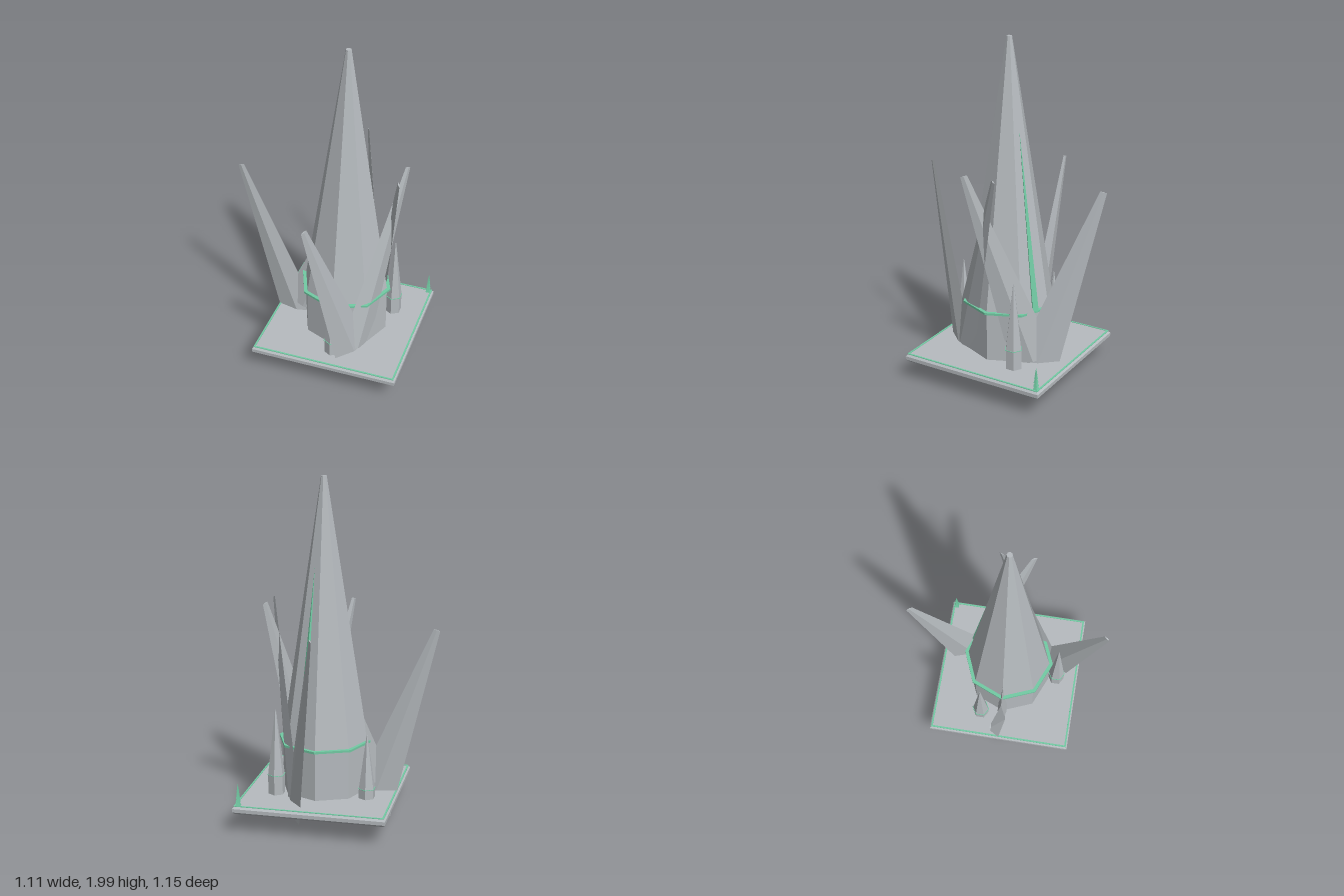
import * as THREE from 'three';

const steel = new THREE.MeshStandardMaterial({ color: 0xb6bbbf, flatShading: true });
steel.name = 'pale steel';
const green = new THREE.MeshStandardMaterial({ color: 0x72cba4, flatShading: true });
green.name = 'mint trim';

const CX = 0.11; // tower and plate centre
const DECK = 0.172; // top of the plate

function add(parent, name, geometry, material, x = 0, y = 0, z = 0) {
  const mesh = new THREE.Mesh(geometry, material);
  mesh.name = name;
  mesh.position.set(x, y, z);
  parent.add(mesh);
  return mesh;
}

function square(half, PathType = THREE.Shape) {
  return new PathType([[-1, -1], [1, -1], [1, 1], [-1, 1]].map(([x, y]) => new THREE.Vector2(x * half, y * half)));
}

// Flat polygonal collar with its corners on the z axis
function collar(outer, inner, height, sides) {
  const profile = [[inner, 0], [outer, 0], [outer, height], [inner, height], [inner, 0]];
  return new THREE.LatheGeometry(profile.map(([r, y]) => new THREE.Vector2(r, y)), sides);
}

// Faceted drum with a trim collar and a tall spire
function spire(name, x, z, radius, ringY, topY, tipRadius, sides) {
  const g = new THREE.Group();
  g.name = name;
  g.position.set(x, 0, z);
  const low = DECK - 0.01;
  add(g, 'drum', new THREE.CylinderGeometry(radius, radius, ringY - low, sides), steel, 0, (ringY + low) / 2, 0);
  add(g, 'spireCone', new THREE.CylinderGeometry(tipRadius, radius, topY - ringY, sides), steel, 0, (ringY + topY) / 2, 0);
  add(g, 'collar', collar(radius * 1.08, radius * 0.95, radius * 0.05, sides), green, 0, ringY - radius * 0.025, 0);
  return g;
}

// Tapered diamond-section blade; lean is toward local -x when positive
function blade(name, x, y, z, turn, lean) {
  const length = 1.165;
  const geometry = new THREE.CylinderGeometry(0.019, 0.13, length, 4);
  geometry.translate(0, length / 2, 0).scale(1, 1, 0.22);
  const g = new THREE.Group();
  g.name = name;
  g.position.set(x, y, z);
  g.rotation.y = turn;
  add(g, 'bladeBody', geometry, steel).rotation.z = lean;
  return g;
}

export function createModel() {
  const model = new THREE.Group();
  model.name = 'spireTower';

  // Bevelled base plate
  const bevel = 0.013;
  const plate = new THREE.ExtrudeGeometry(square(0.44 - bevel), {
    depth: 0.047 - bevel * 2, bevelEnabled: true, bevelSize: bevel, bevelThickness: bevel, bevelSegments: 1,
  });
  plate.rotateX(-Math.PI / 2);
  add(model, 'basePlate', plate, steel, CX, 0.125 + bevel, 0);

  // Trim line around the plate
  const frame = square(0.432);
  frame.holes.push(square(0.422, THREE.Path));
  const trim = new THREE.ExtrudeGeometry(frame, { depth: 0.004, bevelEnabled: false });
  trim.rotateX(-Math.PI / 2);
  add(model, 'plateTrim', trim, green, CX, DECK - 0.001, 0);

  // Main spire and three small ones
  model.add(spire('mainSpire', CX, 0, 0.255, 0.468, 2, 0.016, 8));
  model.add(spire('frontTurret', 0.13, 0.305, 0.049, 0.26, 0.64, 0.003, 6));
  model.add(spire('backLeftTurret', 0.36, -0.175, 0.05, 0.288, 0.68, 0.003, 6));
  model.add(spire('backRightTurret', -0.168, -0.135, 0.049, 0.23, 0.55, 0.003, 6));

  // Slender spike lying on one rear face of the main spire
  const angle = THREE.MathUtils.degToRad(-67.5);
  const foot = new THREE.Vector3(CX + Math.cos(angle) * 0.24, 0.468, Math.sin(angle) * 0.24);
  const tip = new THREE.Vector3(CX + Math.cos(angle) * 0.09, 1.5, Math.sin(angle) * 0.09);
  const along = tip.clone().sub(foot);
  const spike = add(model, 'faceSpike', new THREE.ConeGeometry(0.024, along.length(), 4), green);
  spike.position.copy(foot).add(tip).multiplyScalar(0.5);
  spike.quaternion.setFromUnitVectors(new THREE.Vector3(0, 1, 0), along.normalize());

  // Three pairs of blades, each pair sharing a foot and leaning apart
  const lean = 0.33;
  const feet = [
    ['right', -0.16, 0, 0, 0.05],
    ['front', 0.245, 0.234, Math.PI / 3, 0.092],
    ['back', 0.245, -0.234, -Math.PI / 3, 0.092],
  ];
  for (const [side, x, z, turn, y] of feet) {
    model.add(blade(side + 'OuterBlade', x, y, z, turn, lean));
    model.add(blade(side + 'InnerBlade', x, side === 'right' ? 0.21 : 0.18, z, turn, -lean));
  }

  // Tiny tiered tree in the back corner
  const tree = new THREE.Group();
  tree.name = 'cornerTree';
  tree.position.set(CX + 0.41, DECK, -0.413);
  for (let i = 0; i < 5; i++) {
    const tier = add(tree, 'treeTier', new THREE.ConeGeometry(0.02 - i * 0.003, 0.045, 4), green, 0, 0.022 + i * 0.022, 0);
    tier.rotation.y = Math.PI / 4;
  }
  model.add(tree);

  return model;
}
